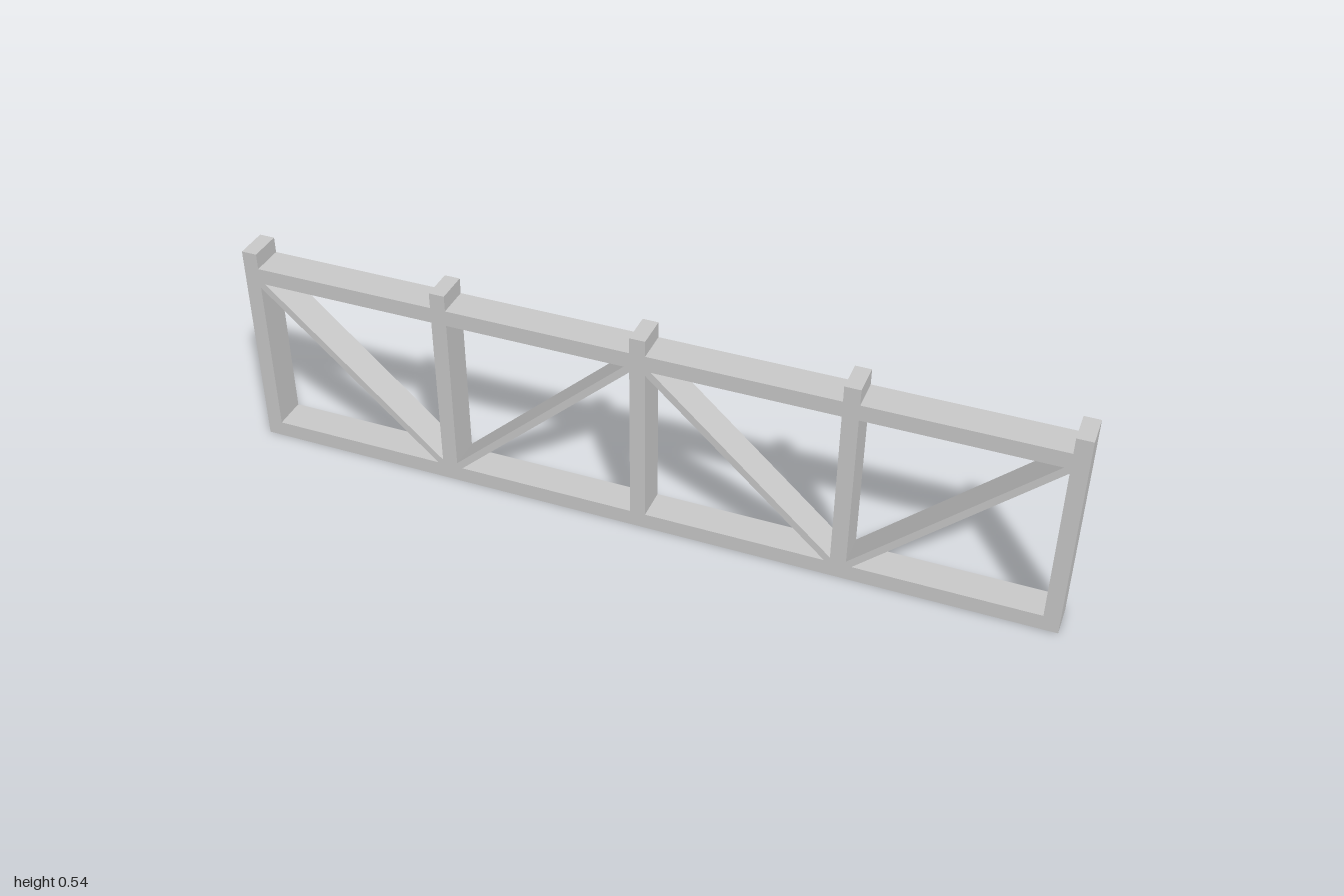
import * as THREE from 'three';

const DEPTH = 0.082, HEIGHT = 0.535, POST = 0.038, RAIL = 0.04;
const TOP_RAIL = 0.475; // centre height of the top rail
const BAYS = 4, SPACING = (2 - POST) / BAYS;
const BRACE = 0.018; // brace thickness

const material = new THREE.MeshStandardMaterial({ color: 0xcccccc, flatShading: true });

function addMesh(parent, name, geometry, x, y) {
  const mesh = new THREE.Mesh(geometry, material);
  mesh.name = name;
  mesh.position.set(x, y, 0);
  parent.add(mesh);
}

// Corner-to-corner strip filling a w x h opening, ends trimmed to the corners.
// dir = 1 rises towards +x, dir = -1 falls towards +x.
function braceGeometry(w, h, dir) {
  const length = Math.hypot(w, h);
  const dx = (BRACE / 2) * length / h, dy = (BRACE / 2) * length / w;
  const a = w / 2, b = h / 2;
  const points = [[-a, -b], [-a + dx, -b], [a, b - dy], [a, b], [a - dx, b], [-a, -b + dy]];
  const shape = new THREE.Shape(points.map(([x, y]) => new THREE.Vector2(x * dir, y)));
  const geometry = new THREE.ExtrudeGeometry(shape, { depth: DEPTH, bevelEnabled: false });
  return geometry.translate(0, 0, -DEPTH / 2);
}

export function createModel() {
  const truss = new THREE.Group();
  truss.name = 'trussFrame';

  // Upright posts, standing slightly proud of the top rail
  for (let i = 0; i <= BAYS; i++) {
    const x = (i - BAYS / 2) * SPACING;
    addMesh(truss, 'post', new THREE.BoxGeometry(POST, HEIGHT, DEPTH), x, HEIGHT / 2);
  }

  // Rails and an alternating diagonal brace in each bay
  const w = SPACING - POST;
  const low = RAIL, high = TOP_RAIL - RAIL / 2;
  for (let i = 0; i < BAYS; i++) {
    const x = (i + 0.5 - BAYS / 2) * SPACING;
    addMesh(truss, 'bottomRail', new THREE.BoxGeometry(w, RAIL, DEPTH), x, RAIL / 2);
    addMesh(truss, 'topRail', new THREE.BoxGeometry(w, RAIL, DEPTH), x, TOP_RAIL);
    addMesh(truss, 'diagonalBrace', braceGeometry(w, high - low, i % 2 ? 1 : -1), x, (low + high) / 2);
  }
  return truss;
}
